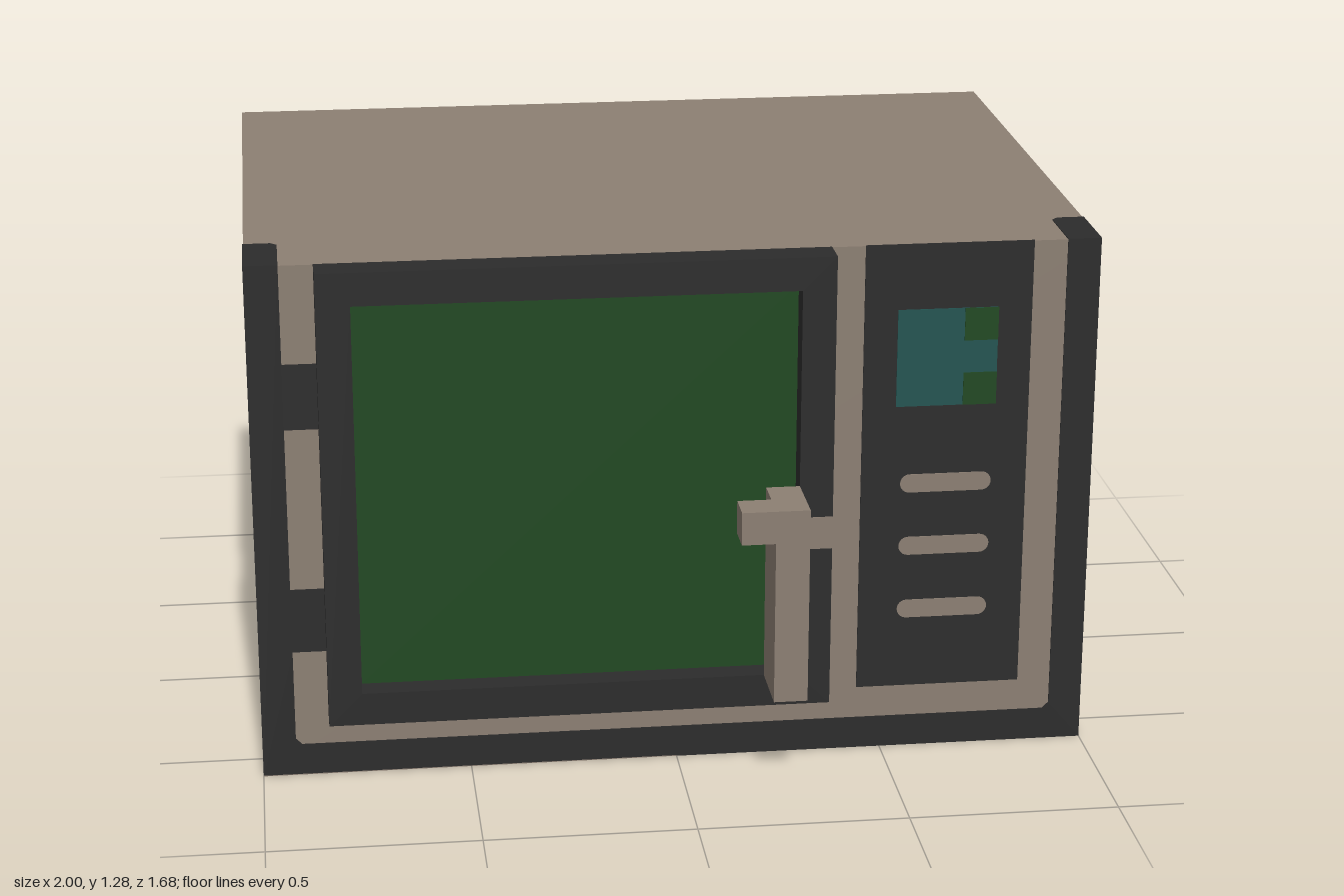
import * as THREE from 'three';

const T = 0.002; // thickness of painted plates

export function createModel() {
  const root = new THREE.Group();
  root.name = 'microwaveOven';

  const material = (name, color) => {
    const m = new THREE.MeshStandardMaterial({ color });
    m.name = name;
    return m;
  };
  const beige = material('beige casing', 0x8c7f73);
  const dark = material('charcoal trim', 0x2c2c2c);
  const green = material('green glass', 0x204821);
  const teal = material('teal display', 0x225451);

  const add = (name, geometry, mat, parent = root) => {
    const mesh = new THREE.Mesh(geometry, mat);
    mesh.name = name;
    parent.add(mesh);
    return mesh;
  };
  // Box given by its extents
  const box = (name, mat, x0, x1, y0, y1, z0, z1) =>
    add(name, new THREE.BoxGeometry(x1 - x0, y1 - y0, z1 - z0), mat)
      .position.set((x0 + x1) / 2, (y0 + y1) / 2, (z0 + z1) / 2);
  const outline = (points) => new THREE.Shape(points.map(([x, y]) => new THREE.Vector2(x, y)));
  const extrude = (shape, depth) =>
    new THREE.ExtrudeGeometry(shape, { depth, bevelEnabled: false, curveSegments: 6 });
  const rect = (x0, x1, y0, y1) => [[x0, y0], [x1, y0], [x1, y1], [x0, y1]];

  // Casing, inset by the plate thickness
  box('casing', beige, -1 + T, 1 - T, T, 1.28 - T, -0.84 + T, 0.6 - T);
  box('basePlate', dark, 0, 1, 0, T, -0.84, 0.6);
  box('basePlateLight', beige, -1, 0, 0, T, -0.84, 0.6);

  // Front surround with tabs on the left strip
  const c = 0.015;
  const surround = outline([
    [-1, 0], [1, 0], [1, 1.28], [0.92, 1.28], [0.92, 0.08 + c], [0.92 - c, 0.08],
    [-0.92 + c, 0.08], [-0.92, 0.08 + c], [-0.92, 0.32], [-0.84, 0.32], [-0.84, 0.48],
    [-0.92, 0.48], [-0.92, 0.88], [-0.84, 0.88], [-0.84, 1.04], [-0.92, 1.04],
    [-0.92, 1.28], [-1, 1.28],
  ]);
  add('frontSurround', extrude(surround, T), dark).position.z = 0.6 - T;

  // Dark corner marks on the sides, back and top
  const mark = (w, h) => outline([[0, 0], [w, 0], [w, h - c], [w - c, h], [0, h]]);
  const markedFace = (name, halfWidth, w, h) => {
    const face = new THREE.Group();
    face.name = name;
    for (const s of [-1, 1]) {
      const g = extrude(mark(w, h), T);
      if (s > 0) g.rotateY(Math.PI).translate(0, 0, T);
      g.translate(s * halfWidth, 0, 0);
      add('cornerMark', g, dark, face);
    }
    root.add(face);
    return face;
  };
  for (const s of [-1, 1]) {
    const side = markedFace(s > 0 ? 'leftSideMarks' : 'rightSideMarks', 0.72, 0.055, 0.155);
    side.rotation.y = s * Math.PI / 2;
    side.position.set(s * (1 - T), 0, -0.12);
  }
  const back = markedFace('backMarks', 1, 0.08, 0.155);
  back.rotation.y = Math.PI;
  back.position.z = -0.84 + T;
  const top = markedFace('topMarks', 1, 0.08, 0.18);
  top.rotation.x = -Math.PI / 2;
  top.position.set(0, 1.28 - T, 0.6);

  // Door frame with recessed window
  const frame = outline(rect(-0.84, 0.36, 0.16, 1.28));
  frame.holes.push(outline(rect(-0.76, 0.28, 0.24, 1.2)));
  add('doorFrame', extrude(frame, 0.08), dark).position.z = 0.6;
  box('doorWindow', green, -0.76, 0.28, 0.24, 1.2, 0.6 - T, 0.62);
  box('latchMark', beige, 0.28, 0.36, 0.56, 0.64, 0.68, 0.68 + T);

  // Door handle
  box('handleBar', beige, 0.2, 0.28, 0.24, 0.72, 0.68, 0.84);
  box('handleHook', beige, 0.12, 0.2, 0.64, 0.72, 0.76, 0.84);

  // Control panel, display and buttons
  box('controlPanel', dark, 0.44, 0.84, 0.16, 1.28, 0.6 - T, 0.6);
  box('display', teal, 0.52, 0.76, 0.88, 1.12, 0.6, 0.6 + T);
  for (const y of [0.88, 1.04])
    box('displaySegment', green, 0.68, 0.76, y, y + 0.08, 0.6 + T, 0.6 + 2 * T);
  for (const y of [0.685, 0.525, 0.362]) {
    const r = 0.023;
    const pill = new THREE.Shape();
    pill.absarc(0.755 - r, y, r, -Math.PI / 2, Math.PI / 2);
    pill.absarc(0.535 + r, y, r, Math.PI / 2, Math.PI * 1.5);
    add('button', extrude(pill, T), beige).position.z = 0.6;
  }

  return root;
}
